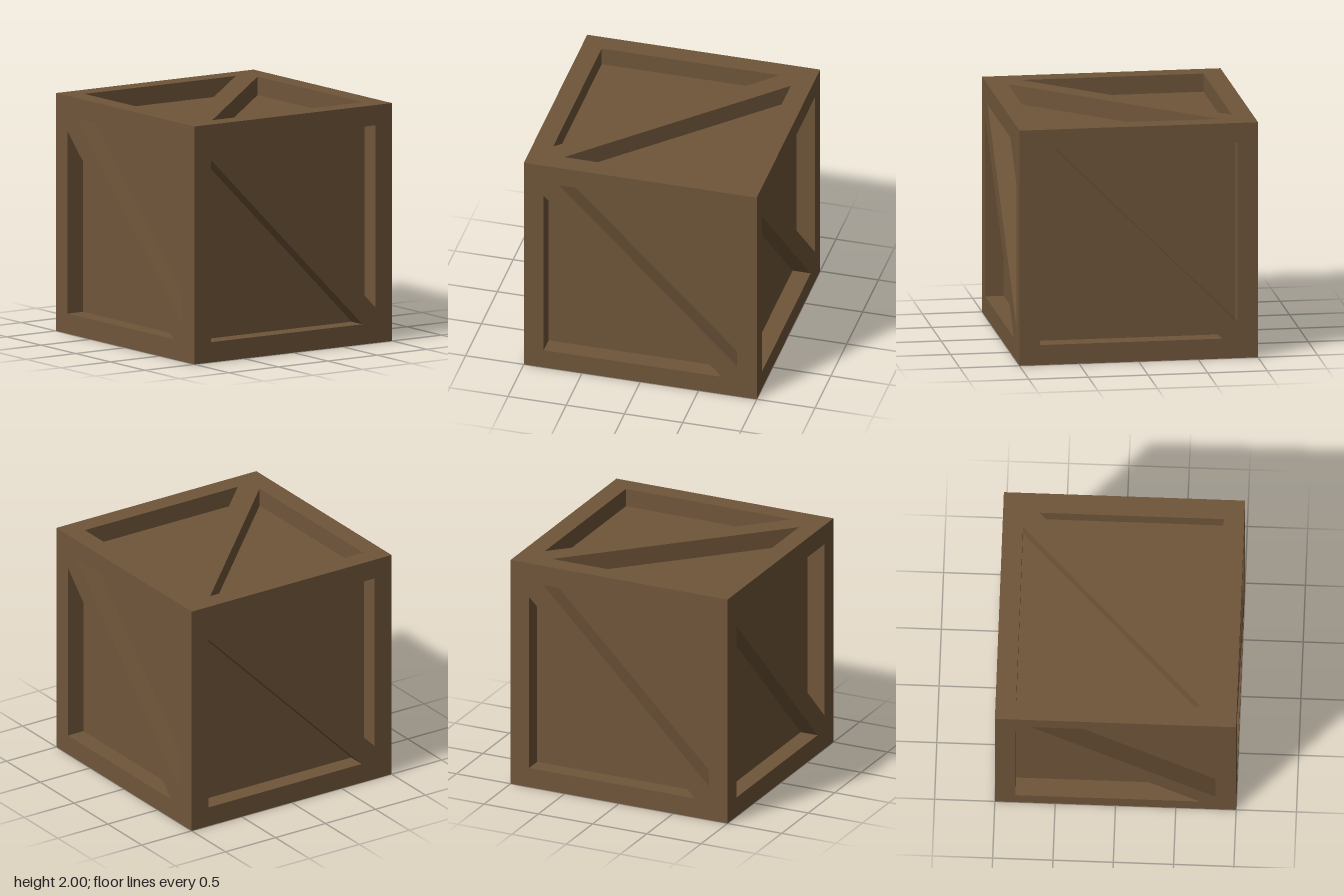
import * as THREE from 'three';

const HALF = 1;        // half the crate's side
const DEPTH = 0.155;   // recess depth
const CORE = HALF - DEPTH;

const path = (Type, points) => new Type(points.map(([x, y]) => new THREE.Vector2(x, y)));

// Square frame with a diagonal brace running from upper left to lower right.
function makeFrameGeometry() {
  const square = path(THREE.Shape, [[-HALF, -HALF], [HALF, -HALF], [HALF, HALF], [-HALF, HALF]]);
  const triangle = [[-0.83, 0.70], [-0.83, -0.83], [0.70, -0.83]];
  square.holes.push(
    path(THREE.Path, triangle),
    path(THREE.Path, triangle.map(([x, y]) => [-x, -y])),
  );
  const geometry = new THREE.ExtrudeGeometry(square, { depth: DEPTH, bevelEnabled: false });

  // Mitre the outer edge so that neighbouring frames meet without overlapping.
  const p = geometry.attributes.position;
  for (let i = 0; i < p.count; i++) {
    if (p.getZ(i) < DEPTH / 2 && Math.abs(p.getX(i)) > 0.99) {
      p.setXY(i, p.getX(i) * CORE, p.getY(i) * CORE);
    }
  }
  geometry.translate(0, 0, CORE);
  geometry.computeVertexNormals();
  return geometry;
}

export function createModel() {
  const crate = new THREE.Group();
  crate.name = 'crate';
  const wood = new THREE.MeshStandardMaterial({ color: 0x70563a });
  wood.name = 'brown wood';

  // Inner box forming the recessed panels
  const core = new THREE.Mesh(new THREE.BoxGeometry(2 * CORE, 2 * CORE, 2 * CORE), wood);
  core.name = 'recessedPanels';
  core.position.y = HALF;
  crate.add(core);

  // One braced frame per side; top and bottom braces turn a quarter in plane
  const q = Math.PI / 2;
  const frameGeometry = makeFrameGeometry();
  const sides = [
    ['frontFrame', 0, 0, 0],
    ['leftFrame', 0, q, 0],
    ['backFrame', 0, 2 * q, 0],
    ['rightFrame', 0, -q, 0],
    ['topFrame', -q, 0, q],
    ['bottomFrame', q, 0, q],
  ];
  for (const [name, rx, ry, rz] of sides) {
    const frame = new THREE.Mesh(frameGeometry, wood);
    frame.name = name;
    frame.rotation.set(rx, ry, rz);
    frame.position.y = HALF;
    crate.add(frame);
  }
  return crate;
}
